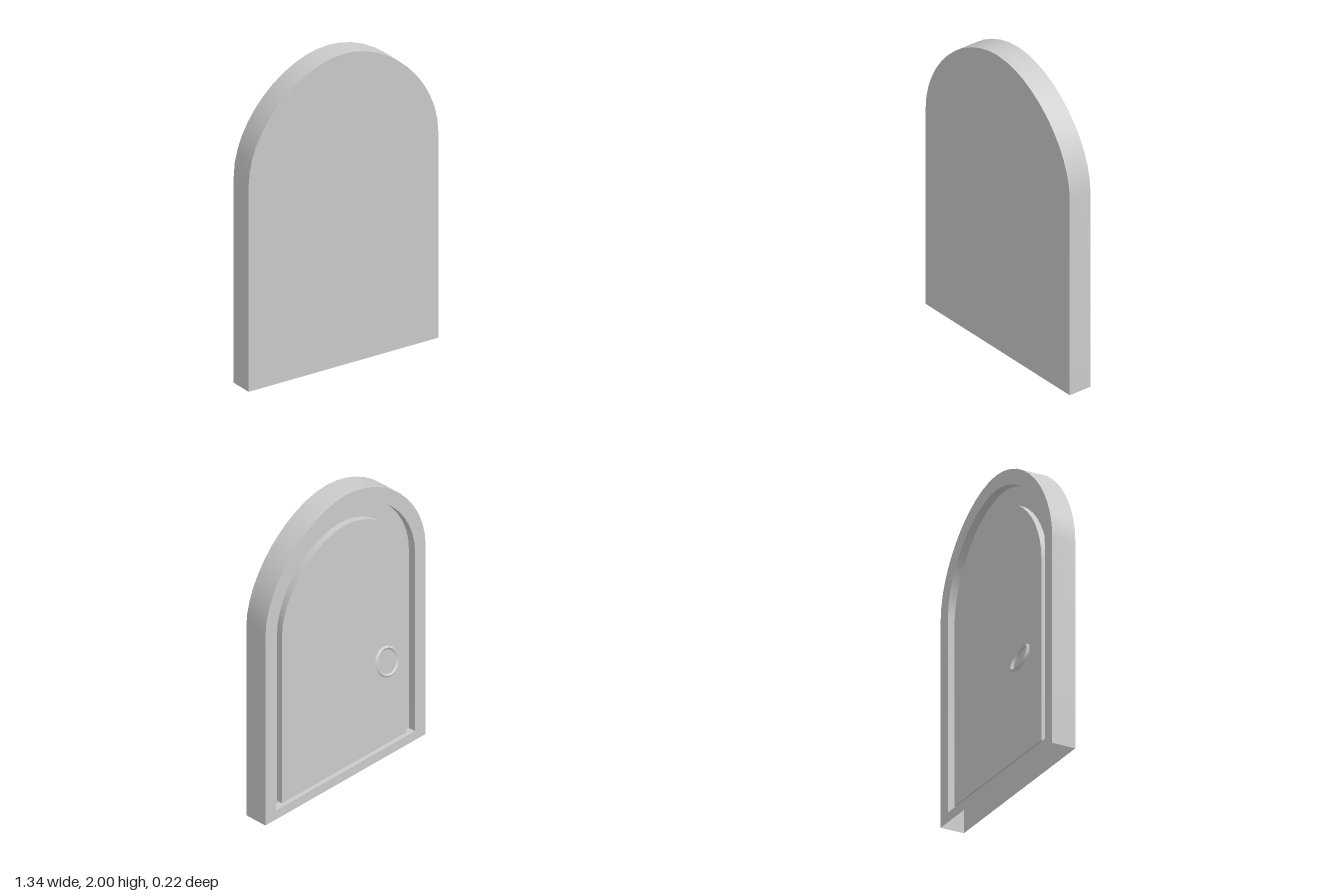
import * as THREE from 'three';
import { toCreasedNormals } from 'three/addons/utils/BufferGeometryUtils.js';

const material = new THREE.MeshStandardMaterial({ color: 0xcccccc, side: THREE.DoubleSide });

// Arched outline, counter-clockwise from the bottom right corner to the bottom left
function arch(halfWidth, bottom, spring) {
  const w = halfWidth, top = spring + w, k = w * 0.5;
  const s = new THREE.Shape();
  s.moveTo(w, bottom);
  s.lineTo(w, spring);
  s.bezierCurveTo(w, spring + k, k, top, 0, top);
  s.bezierCurveTo(-k, top, -w, spring + k, -w, spring);
  s.lineTo(-w, bottom);
  return s;
}

// Wall swept along an outline from z0 to z1; it faces outward when z1 > z0, inward otherwise
function wall(shape, z0, z1, closed) {
  const pts = shape.getPoints(12);
  if (closed) pts.push(pts[0].clone());
  const pos = [];
  for (let i = 0; i < pts.length - 1; i++) {
    const p = pts[i], q = pts[i + 1];
    if (p.distanceTo(q) < 1e-6) continue;
    pos.push(p.x, p.y, z0, q.x, q.y, z0, q.x, q.y, z1);
    pos.push(p.x, p.y, z0, q.x, q.y, z1, p.x, p.y, z1);
  }
  const g = new THREE.BufferGeometry();
  g.setAttribute('position', new THREE.Float32BufferAttribute(pos, 3));
  g.computeVertexNormals();
  return toCreasedNormals(g, 0.6);
}

// Flat face at depth z; outlines are symmetric, so a half turn makes it face the back
function face(shape, z, toBack) {
  const g = new THREE.ShapeGeometry(shape, 12);
  if (toBack) g.rotateY(Math.PI);
  return g.translate(0, 0, z);
}

export function createModel() {
  const model = new THREE.Group();
  const add = (name, geometry, parent) => {
    const mesh = new THREE.Mesh(geometry, material);
    mesh.name = name;
    parent.add(mesh);
    return mesh;
  };
  const group = (name) => {
    const g = new THREE.Group();
    g.name = name;
    model.add(g);
    return g;
  };

  const FRONT = 0.105, BACK = -0.05, FLOOR = 0, PANEL = -0.04;
  const outer = arch(0.672, 0, 1.328);
  const recess = arch(0.583, 0.063, 1.322);
  const panel = arch(0.522, 0.08, 1.26);

  // Hollow frame, open along the bottom
  const frame = group('frame');
  add('frontFace', face(outer, FRONT, false), frame);
  add('outerWall', wall(outer, BACK, FRONT, false), frame);
  const rim = outer.clone();
  rim.holes.push(recess);
  add('backRim', face(rim, BACK, true), frame);
  add('recessWall', wall(recess, FLOOR, BACK, true), frame);
  add('recessFloor', face(recess, FLOOR, true), frame);

  // Raised door panel inside the recess
  const door = group('doorPanel');
  add('panelFace', face(panel, PANEL, true), door);
  add('panelEdge', wall(panel, PANEL, FLOOR, true), door);

  // Ring handle, hanging away from the panel at the bottom
  const ringGeometry = toCreasedNormals(new THREE.TorusGeometry(0.084, 0.011, 4, 16), 0.6);
  const ring = add('ringHandle', ringGeometry, model);
  ring.position.set(-0.325, 0.685, -0.072);
  ring.rotation.x = 0.34;

  return model;
}
